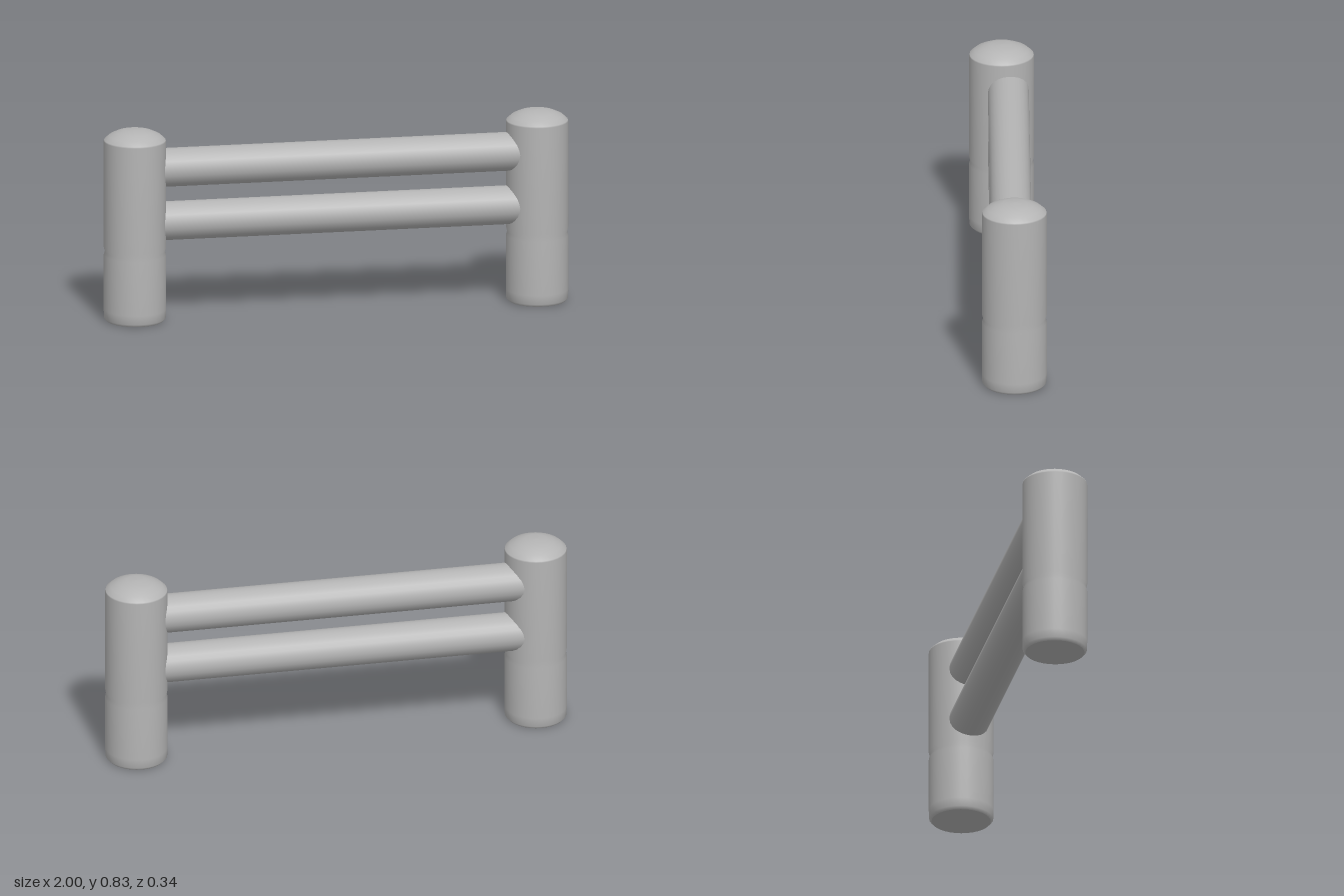
import * as THREE from 'three';

export function createModel() {
  const model = new THREE.Group();
  const grey = new THREE.MeshStandardMaterial({ color: 0xb4b4b4 });
  grey.name = 'plain grey';

  // Post outline from base to cap: [radius, height]
  const profile = [
    [0, 0], [0.124, 0], [0.124, 0], [0.135, 0.012], [0.136, 0.05], [0.136, 0.285],
    [0.131, 0.3], [0.136, 0.318], [0.136, 0.6], [0.136, 0.782], [0.134, 0.788],
    [0.113, 0.806], [0.08, 0.821], [0.046, 0.83], [0, 0.832],
  ].map(([r, y]) => new THREE.Vector2(r, y));
  const postGeometry = new THREE.LatheGeometry(profile, 32);

  const addPost = (name, x, z) => {
    const post = new THREE.Mesh(postGeometry, grey);
    post.name = name;
    post.position.set(x, 0, z);
    post.scale.set(0.97, 1, 1.01);
    model.add(post);
  };
  addPost('rightPost', -0.868, 0.032);
  addPost('leftPost', 0.868, -0.032);

  // Round rails, slightly skewed between the posts, ends buried inside them
  const addRail = (name, y) => {
    const start = new THREE.Vector3(-0.85, y - 0.002, 0.004);
    const end = new THREE.Vector3(0.85, y + 0.002, -0.019);
    const direction = end.clone().sub(start);
    const geometry = new THREE.CylinderGeometry(1, 1, direction.length(), 24, 1);
    geometry.scale(0.082, 1, 0.087);
    const rail = new THREE.Mesh(geometry, grey);
    rail.name = name;
    rail.position.copy(start).add(end).multiplyScalar(0.5);
    rail.quaternion.setFromUnitVectors(new THREE.Vector3(0, 1, 0), direction.normalize());
    model.add(rail);
  };
  addRail('upperRail', 0.655);
  addRail('lowerRail', 0.422);

  return model;
}
